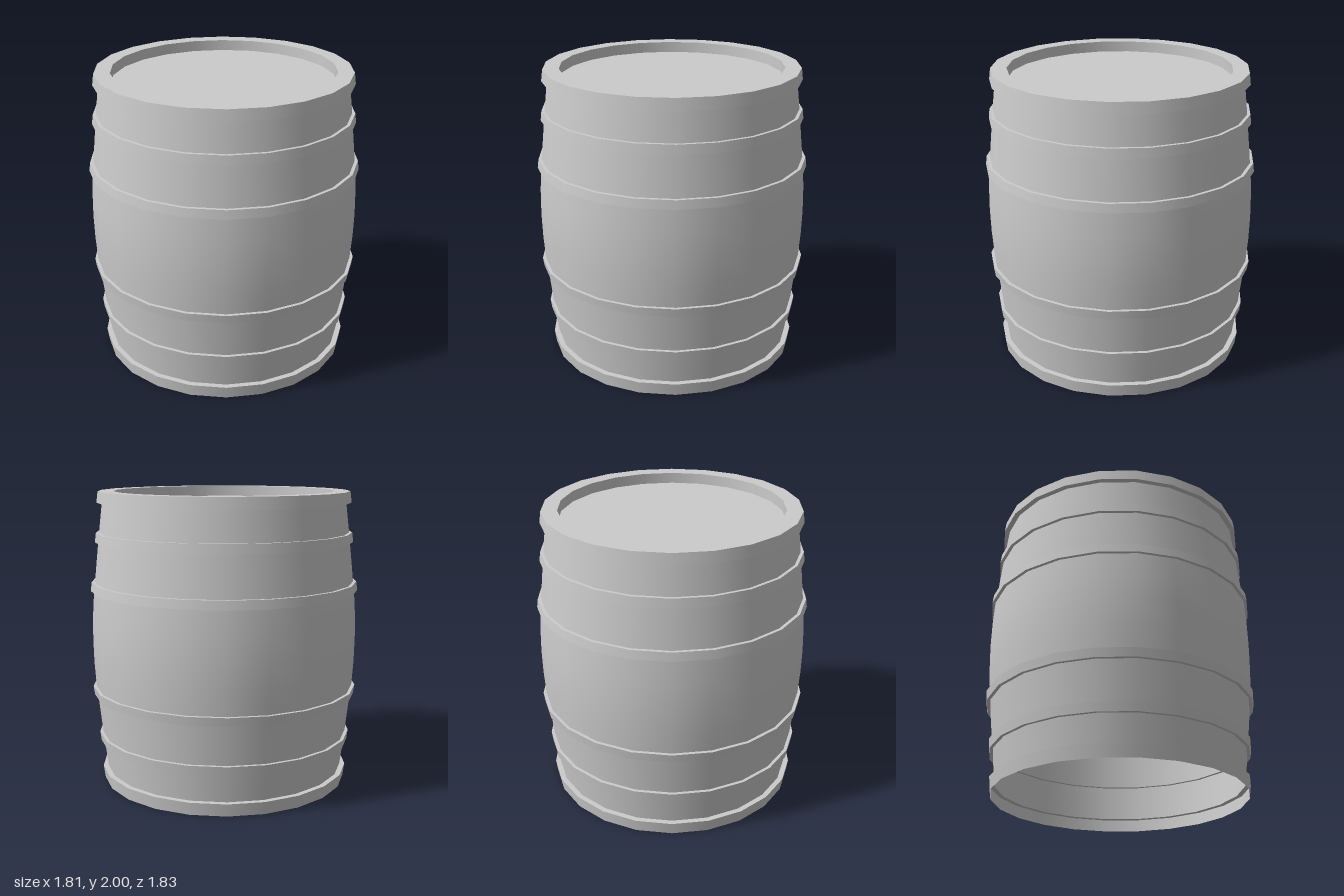
import * as THREE from 'three';
import { mergeGeometries } from 'three/addons/utils/BufferGeometryUtils.js';

const SIDES = 22;
const material = new THREE.MeshStandardMaterial({ color: 0xcccccc, side: THREE.DoubleSide });

// Smooth ring swept from a short profile of [radius, y] points
const ring = (points) =>
  new THREE.LatheGeometry(points.map(([r, y]) => new THREE.Vector2(r, y)), SIDES);

// One ring per profile step, so every edge between steps stays sharp
const sharpRings = (points) =>
  mergeGeometries(points.slice(1).map((p, i) => ring([points[i], p])));

export function createModel() {
  const barrel = new THREE.Group();
  barrel.name = 'barrel';
  const add = (name, geometry) => {
    const mesh = new THREE.Mesh(geometry, material);
    mesh.name = name;
    barrel.add(mesh);
  };
  const flip = ([r, y]) => [r, 2 - y];

  // Hoops of the lower half: wall below, band bottom, band top, wall above
  const hoops = [
    [[0.85, 0.275], [0.871, 0.275], [0.879, 0.338], [0.857, 0.338]],
    [[0.886, 0.608], [0.908, 0.608], [0.916, 0.667], [0.894, 0.667]],
  ];
  const names = ['OuterHoop', 'InnerHoop'];
  hoops.forEach((hoop, i) => {
    add('lower' + names[i], sharpRings(hoop));
    add('upper' + names[i], sharpRings(hoop.map(flip).reverse()));
  });

  // Wall bands between the hoops
  const walls = [
    [[0.826, 0.086], hoops[0][0]],
    [hoops[0][3], hoops[1][0]],
  ];
  walls.forEach((wall, i) => {
    add('lowerWall' + (i + 1), ring(wall));
    const top = wall.map(flip).reverse();
    if (i === 0) top[1] = [0.826, 1.925];
    add('upperWall' + (i + 1), ring(top));
  });
  add('middleWall', ring([hoops[1][3], [0.905, 0.83], [0.909, 1], [0.905, 1.17], flip(hoops[1][3])]));

  // Open foot below, rim with a recessed lid above
  add('bottomHoop', sharpRings([[0.85, 0], [0.862, 0.086], [0.826, 0.086]]));
  add('topRim', sharpRings([[0.826, 1.925], [0.862, 1.925], [0.852, 2], [0.745, 2], [0.745, 1.927]]));
  add('lid', ring([[0.745, 1.927], [0, 1.927]]));

  return barrel;
}
